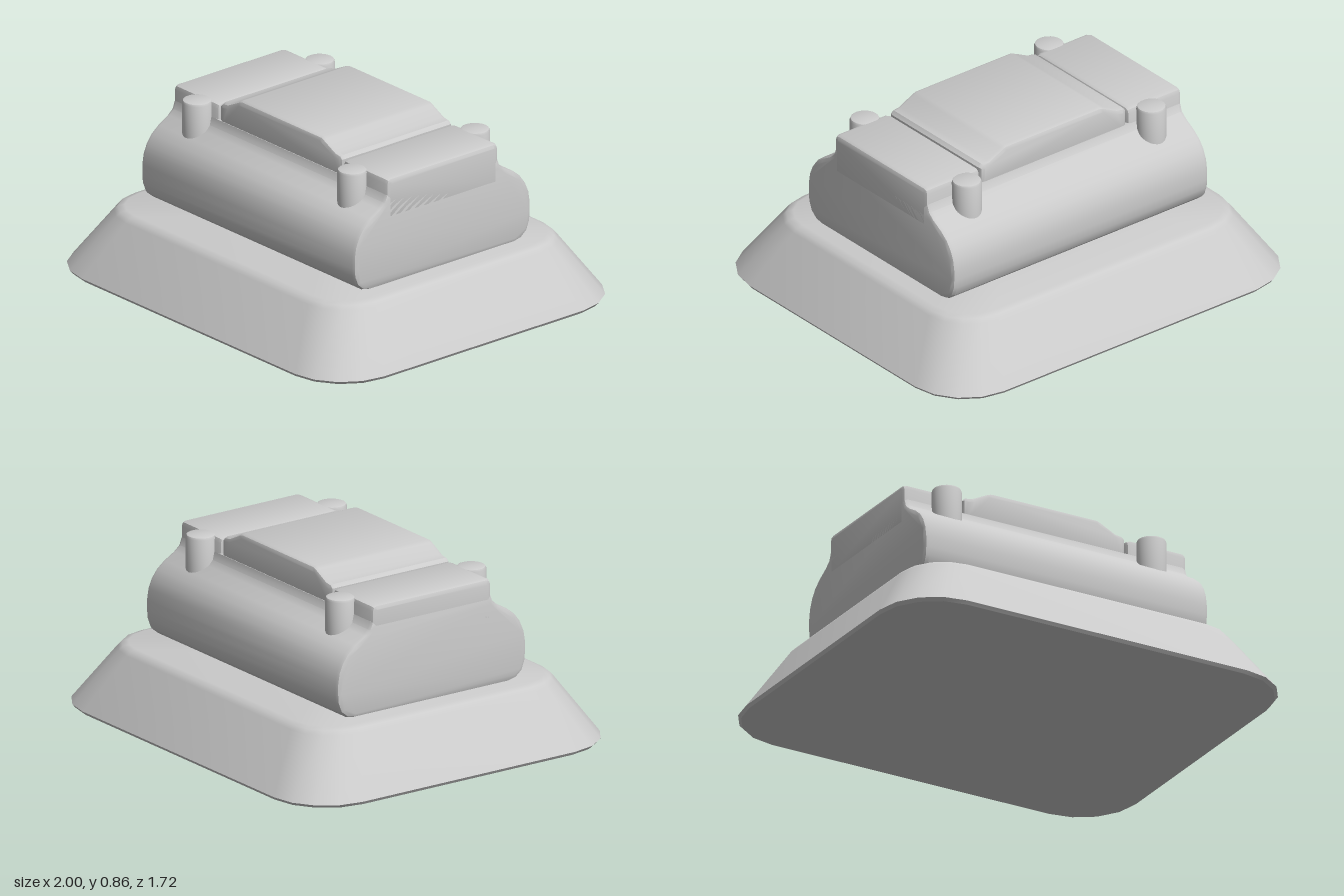
import * as THREE from 'three';
import { toCreasedNormals } from 'three/addons/utils/BufferGeometryUtils.js';

const material = new THREE.MeshStandardMaterial({ color: 0xcccccc });

function addPart(group, name, geometry, crease = 0.6) {
  const mesh = new THREE.Mesh(toCreasedNormals(geometry, crease), material);
  mesh.name = name;
  group.add(mesh);
  return mesh;
}

// Mirrors a half outline (bottom to top) and extrudes it with bevelled ends, centred on the origin.
function symmetricExtrusion(half, length, bevel) {
  const points = half.map(([u, y]) => new THREE.Vector2(u, y));
  const mirrored = half.map(([u, y]) => new THREE.Vector2(-u, y)).reverse();
  const geometry = new THREE.ExtrudeGeometry(new THREE.Shape([...points, ...mirrored]), {
    depth: length - 2 * bevel, bevelThickness: bevel, bevelSize: bevel, bevelOffset: -bevel, bevelSegments: 2,
  });
  return geometry.translate(0, 0, bevel - length / 2);
}

// Lofts rounded rectangles [y, half width, half depth, corner radius] from bottom to top.
function roundedLoft(levels, steps = 4) {
  const rings = levels.map(([y, w, d, r]) => {
    const ring = [];
    [[1, 1], [-1, 1], [-1, -1], [1, -1]].forEach(([sx, sz], corner) => {
      for (let i = 0; i <= steps; i++) {
        const a = (corner + i / steps) * Math.PI / 2;
        ring.push([sx * (w - r) + r * Math.cos(a), y, sz * (d - r) + r * Math.sin(a)]);
      }
    });
    return ring;
  });
  const positions = [];
  const n = rings[0].length;
  for (let k = 0; k < rings.length - 1; k++) {
    for (let i = 0; i < n; i++) {
      const j = (i + 1) % n;
      const [a, b, c, d] = [rings[k][i], rings[k][j], rings[k + 1][j], rings[k + 1][i]];
      if (k > 0) positions.push(...a, ...d, ...b);
      if (k < rings.length - 2) positions.push(...b, ...d, ...c);
    }
  }
  // The first and last levels are single points closing the bottom and the top.
  for (let i = 0; i < n; i++) {
    const j = (i + 1) % n;
    if (levels[0][1] !== 0) positions.push(...rings[0][i], ...rings[1][i], ...rings[0][j]);
  }
  const geometry = new THREE.BufferGeometry();
  geometry.setAttribute('position', new THREE.Float32BufferAttribute(positions, 3));
  return geometry;
}

export function createModel() {
  const model = new THREE.Group();
  model.name = 'housingOnPlinth';

  // Flared plinth with rounded corners
  addPart(model, 'plinth', roundedLoft([
    [0, 0, 0, 0],
    [0, 0.99, 0.85, 0.28],
    [0.015, 1, 0.86, 0.28],
    [0.27, 0.835, 0.695, 0.22],
    [0.288, 0.82, 0.68, 0.21],
    [0.297, 0.79, 0.655, 0.19],
    [0.297, 0, 0, 0],
  ]));

  // Main body: bulging sides that curve in to a narrow neck
  const body = symmetricExtrusion([
    [0.42, 0.297], [0.46, 0.306], [0.495, 0.335], [0.512, 0.38],
    [0.515, 0.42], [0.515, 0.47], [0.507, 0.52], [0.488, 0.565],
    [0.46, 0.603], [0.42, 0.635], [0.365, 0.667], [0.338, 0.69], [0.325, 0.725],
  ], 1.45, 0.02).rotateY(Math.PI / 2);
  addPart(model, 'body', body);

  for (const side of [-1, 1]) {
    // Raised block at each end of the body
    const block = symmetricExtrusion(
      [[0.325, 0.6], [0.325, 0.775], [0.318, 0.793], [0.3, 0.8]], 0.305, 0.02,
    ).rotateY(Math.PI / 2).translate(side * 0.5725, 0, 0);
    addPart(model, side > 0 ? 'leftEndBlock' : 'rightEndBlock', block);

    // Upright pins beside the blocks
    for (const end of [-1, 1]) {
      const pin = new THREE.LatheGeometry([
        [0, 0.58], [0.067, 0.58], [0.067, 0.788], [0.063, 0.797], [0.055, 0.8], [0, 0.8],
      ].map(([r, y]) => new THREE.Vector2(r, y)), 24);
      const mesh = addPart(model, `${end > 0 ? 'front' : 'back'}${side > 0 ? 'Left' : 'Right'}Pin`, pin);
      mesh.position.set(side * 0.525, 0, end * 0.357);
    }
  }

  // Raised centre lid with sloping shoulders
  addPart(model, 'lid', symmetricExtrusion([
    [0.405, 0.695], [0.415, 0.705], [0.415, 0.795], [0.4, 0.81],
    [0.365, 0.815], [0.29, 0.852], [0.27, 0.86],
  ], 0.645, 0.02));

  return model;
}
